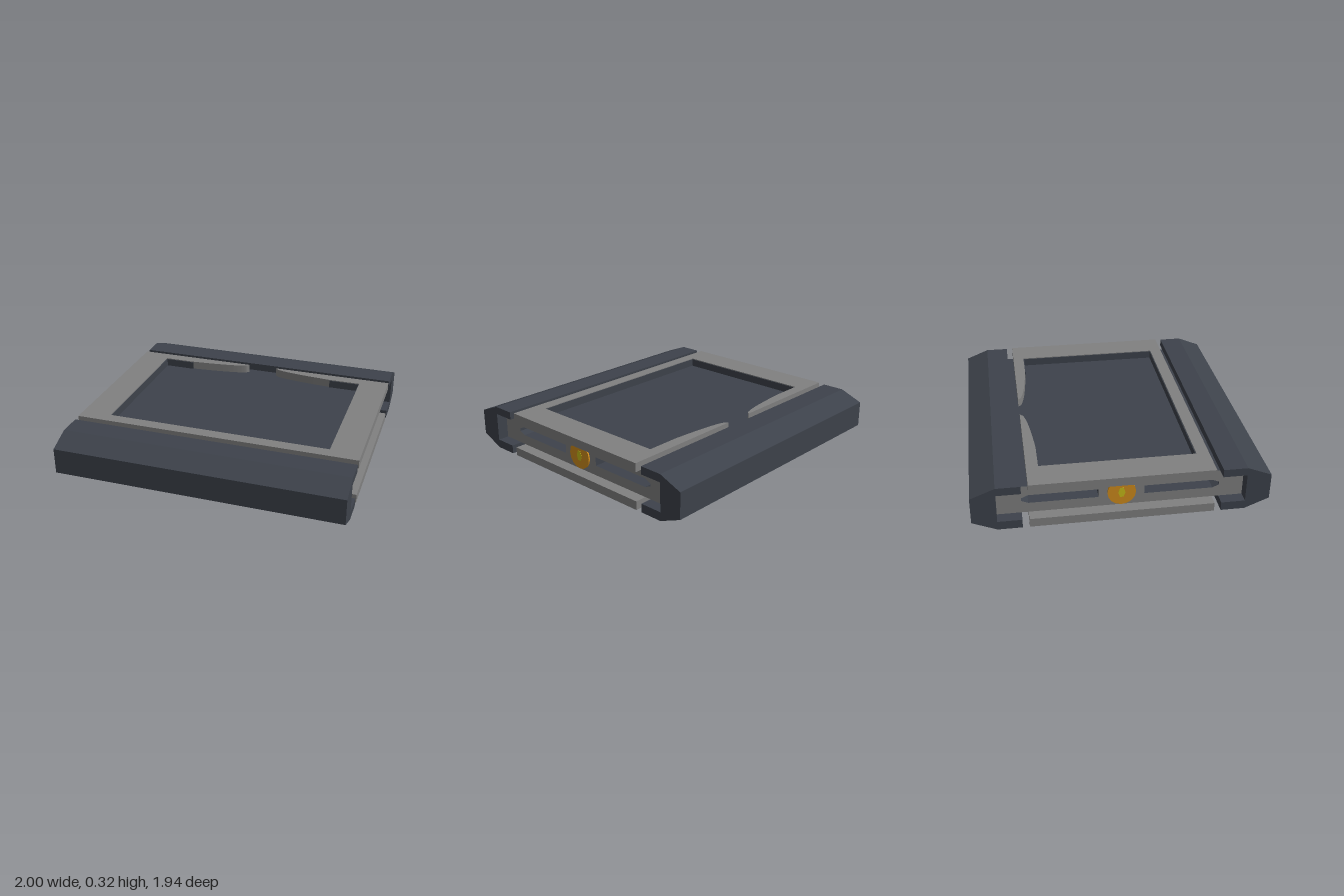
import * as THREE from 'three';

const mat = (name, color) => {
  const m = new THREE.MeshStandardMaterial({ color });
  m.name = name;
  return m;
};

const shapeOf = (pts) => new THREE.Shape(pts.map(([x, y]) => new THREE.Vector2(x, y)));

export function createModel() {
  const group = new THREE.Group();
  const dark = mat('dark slate', 0x3d424b);
  const grey = mat('grey', 0x808080);
  const cyan = mat('cyan', 0x0cc0c8);
  const orange = mat('orange', 0xd08c1c);
  const yellow = mat('yellow', 0xc8bc18);

  const add = (name, geometry, material, parent = group) => {
    const mesh = new THREE.Mesh(geometry, material);
    mesh.name = name;
    parent.add(mesh);
    return mesh;
  };
  const box = (name, w, h, d, x, y, z, material, parent) =>
    add(name, new THREE.BoxGeometry(w, h, d), material, parent).position.set(x, y, z);
  const extrude = (shape, depth) =>
    new THREE.ExtrudeGeometry(shape, { depth, bevelEnabled: false, curveSegments: 10 });

  // Chamfered C-channel rails along the front and back
  const railProfile = shapeOf([
    [-0.65, 0], [-0.65, 0.06], [-0.81, 0.06], [-0.81, 0.26], [-0.65, 0.26], [-0.65, 0.315],
    [-0.81, 0.315], [-0.972, 0.25], [-0.972, 0.068], [-0.81, 0],
  ]);
  const railGeometry = extrude(railProfile, 2).rotateY(Math.PI / 2).translate(-1, 0, 0);
  add('frontRail', railGeometry, dark);
  add('backRail', railGeometry, dark).rotation.y = Math.PI;

  // Core slab and bottom plate
  box('core', 1.64, 0.2, 1.62, 0, 0.16, 0, dark);
  box('bottomPlate', 2, 0.06, 1.21, 0, 0.03, 0, grey);

  // Top frame around the recessed panel, open at the back through a flared notch
  const frame = shapeOf([
    [0.11, 0.605], [1, 0.605], [1, -0.605], [-1, -0.605], [-1, 0.605], [-0.11, 0.605], [-0.13, 0.585],
  ]);
  frame.quadraticCurveTo(-0.2, 0.55, -0.56, 0.525);
  [[-0.79, 0.525], [-0.79, -0.52], [0.79, -0.52], [0.79, 0.525], [0.56, 0.525]]
    .forEach(([x, y]) => frame.lineTo(x, y));
  frame.quadraticCurveTo(0.2, 0.55, 0.13, 0.585);
  add('topFrame', extrude(frame, 0.06).rotateX(-Math.PI / 2).translate(0, 0.26, 0), grey);

  // Dark lining of the recess
  box('frontLining', 1.58, 0.055, 0.006, 0, 0.2875, 0.517, dark);
  for (const s of [1, -1]) {
    box('sideLining', 0.006, 0.055, 1.04, s * 0.787, 0.2875, 0, dark);
    box('backLining', 0.23, 0.055, 0.006, s * 0.675, 0.2875, -0.522, dark);
  }

  // End cap with two pointed slots
  const cap = shapeOf([[-0.81, 0.06], [0.81, 0.06], [0.81, 0.26], [-0.81, 0.26]]);
  for (const s of [1, -1]) {
    cap.holes.push(shapeOf([
      [s * 0.15, 0.13], [s * 0.605, 0.13], [s * 0.65, 0.15],
      [s * 0.65, 0.17], [s * 0.605, 0.19], [s * 0.15, 0.19],
    ]));
  }
  const capGeometry = extrude(cap, 0.1).rotateY(Math.PI / 2).translate(0.82, 0, 0);

  // Both ends: cap, glowing strips deep in the slots, round button
  for (const [name, turn] of [['leftEnd', 0], ['rightEnd', Math.PI]]) {
    const end = new THREE.Group();
    end.name = name;
    end.rotation.y = turn;
    group.add(end);
    add('endCap', capGeometry, [grey, dark], end);
    for (const s of [1, -1]) {
      box('lightStrip', 0.006, 0.08, 0.53, 0.822, 0.16, s * 0.4, cyan, end);
    }
    const button = new THREE.CylinderGeometry(0.094, 0.094, 0.012, 16).rotateZ(-Math.PI / 2);
    add('button', button, orange, end).position.set(0.925, 0.16, 0);
    const spark = new THREE.CylinderGeometry(0.04, 0.04, 0.006, 6).rotateZ(-Math.PI / 2);
    const mark = add('buttonCentre', spark, yellow, end);
    mark.position.set(0.93, 0.16, 0);
    mark.scale.z = 0.6;
  }
  return group;
}
